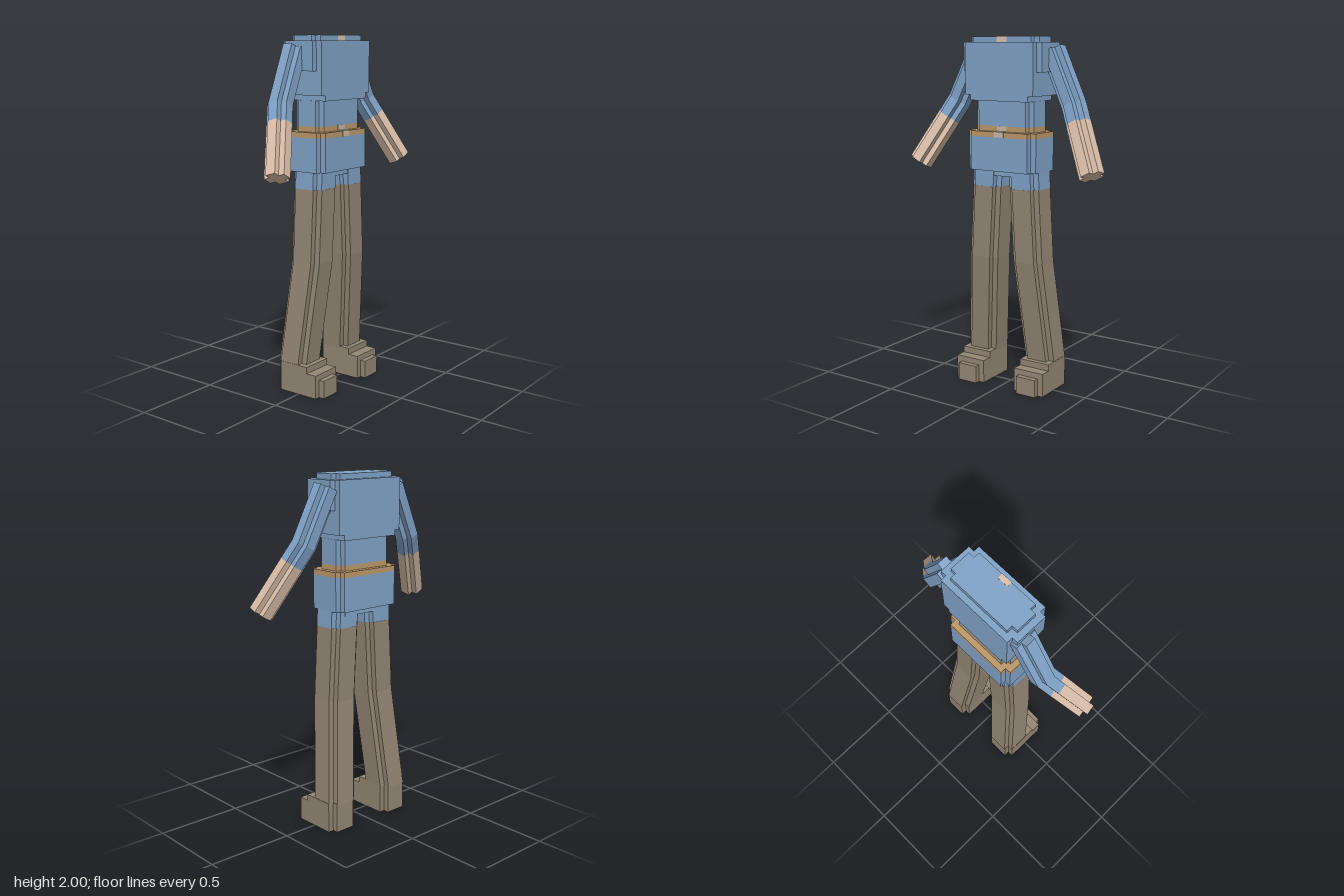
import * as THREE from 'three';

const V = (x, y, z) => new THREE.Vector3(x, y, z);
const INSET = 0.034; // depth of the notch along every vertical edge

function material(name, color) {
  const m = new THREE.MeshStandardMaterial({ color });
  m.name = name;
  return m;
}

// Outline of a rectangle with square-notched corners, counter-clockwise
function notched(hx, hy, n) {
  const a = hx - n, b = hy - n;
  return [[hx, -b], [hx, b], [a, b], [a, hy], [-a, hy], [-a, b],
    [-hx, b], [-hx, -b], [-a, -b], [-a, -hy], [a, -hy], [a, -b]];
}

// Limb with a notched section lofted through rings { p: centre, t: direction }
function limbGeometry(rings, hx, hz) {
  const loops = rings.map(({ p, t }) => {
    const d = t.clone().normalize();
    const w = V(0, 0, 1).addScaledVector(d, -d.z).normalize();
    const u = w.clone().cross(d);
    return notched(hx, hz, INSET).map(([a, b]) =>
      p.clone().addScaledVector(u, a).addScaledVector(w, b));
  });
  const pos = [];
  const tri = (...pts) => pts.forEach((q) => pos.push(q.x, q.y, q.z));
  const last = loops.length - 1;
  for (let i = 0; i < 12; i++) {
    const j = (i + 1) % 12;
    for (let k = 0; k < last; k++) {
      const a = loops[k], b = loops[k + 1];
      tri(a[i], a[j], b[j]);
      tri(a[i], b[j], b[i]);
    }
    tri(rings[0].p, loops[0][j], loops[0][i]);
    tri(rings[last].p, loops[last][i], loops[last][j]);
  }
  const g = new THREE.BufferGeometry();
  g.setAttribute('position', new THREE.Float32BufferAttribute(pos, 3));
  g.computeVertexNormals();
  return g;
}

export function createModel() {
  const model = new THREE.Group();
  model.name = 'clothedBody';
  const blue = material('shirt blue', 0x82a4c9);
  const brown = material('trouser brown', 0x948775);
  const skin = material('skin', 0xdfc3ad);
  const tan = material('belt tan', 0xbd9a6c);
  const pale = material('buckle pale', 0xcdb9a6);

  const add = (parent, name, geometry, mat) => {
    const mesh = new THREE.Mesh(geometry, mat);
    mesh.name = name;
    parent.add(mesh);
    return mesh;
  };
  const box = (parent, name, mat, x0, x1, y0, y1, z0, z1) => {
    add(parent, name, new THREE.BoxGeometry(x1 - x0, y1 - y0, z1 - z0), mat)
      .position.set((x0 + x1) / 2, (y0 + y1) / 2, (z0 + z1) / 2);
  };
  const layer = (parent, name, mat, hx, hz, y0, y1, notch = INSET) => {
    const shape = new THREE.Shape(notched(hx, hz, notch).map(([a, b]) => new THREE.Vector2(a, b)));
    const g = new THREE.ExtrudeGeometry(shape, { depth: y1 - y0, bevelEnabled: false });
    g.rotateX(-Math.PI / 2);
    add(parent, name, g, mat).position.y = y0;
  };

  // Torso, stacked from notched layers
  const torso = new THREE.Group();
  torso.name = 'torso';
  torso.position.set(-0.007, 0, -0.011);
  model.add(torso);
  layer(torso, 'collar', blue, 0.222, 0.094, 1.97, 2.0);
  layer(torso, 'shoulders', blue, 0.257, 0.127, 1.81, 1.97);
  box(torso, 'chest', blue, -0.222, 0.222, 1.68, 1.81, -0.127, 0.127);
  box(torso, 'lowerChest', blue, -0.188, 0.188, 1.65, 1.68, -0.127, 0.127);
  layer(torso, 'waist', blue, 0.19, 0.094, 1.51, 1.65);
  layer(torso, 'beltUpper', tan, 0.19, 0.094, 1.48, 1.51);
  layer(torso, 'beltLower', tan, 0.222, 0.127, 1.45, 1.48);
  layer(torso, 'pelvis', blue, 0.222, 0.127, 1.26, 1.45);
  layer(torso, 'crotch', blue, 0.188, 0.094, 1.23, 1.26);

  // Painted details
  box(torso, 'buckleUpper', pale, -0.032, 0.032, 1.48, 1.51, 0.092, 0.096);
  box(torso, 'buckleLower', pale, -0.032, 0.032, 1.45, 1.48, 0.125, 0.129);
  box(torso, 'buckleTop', pale, -0.032, 0.032, 1.477, 1.482, 0.092, 0.129);
  box(torso, 'neckOpening', skin, -0.032, 0.032, 1.994, 2.001, 0.064, 0.095);
  box(torso, 'neckOpeningFront', skin, -0.032, 0.032, 1.97, 2.001, 0.091, 0.096);

  const limbs = new THREE.Group();
  limbs.name = 'limbs';
  limbs.position.x = -0.003;
  model.add(limbs);

  for (const [side, s] of [['left', 1], ['right', -1]]) {
    // Arm: upper arm and sleeve in blue, then bare forearm and hand
    const shoulder = V(s * 0.242, 1.928, -0.055);
    const elbow = V(s * 0.383, 1.635, -0.04);
    const tip = V(s * 0.573, 1.275, 0.095);
    const upper = elbow.clone().sub(shoulder).normalize();
    const lower = tip.clone().sub(elbow).normalize();
    const cuff = { p: elbow.clone().lerp(tip, 0.27), t: lower };
    add(limbs, side + 'Sleeve', limbGeometry([
      { p: shoulder, t: upper },
      { p: elbow, t: upper.clone().add(lower) },
      cuff], 0.063, 0.063), blue);
    add(limbs, side + 'Forearm', limbGeometry([cuff, { p: tip, t: lower }], 0.063, 0.063), skin);

    // Leg: short shirt hem over a trouser leg bent at the knee
    const down = V(0, -1, 0);
    const ring = (x, y, z) => ({ p: V(s * x, y, z), t: down });
    const hem = ring(0.125, 1.165, -0.009);
    add(limbs, side + 'Hem', limbGeometry([ring(0.12, 1.26, -0.009), hem], 0.097, 0.095), blue);
    add(limbs, side + 'Trouser', limbGeometry([
      hem, ring(0.149, 0.75, -0.01), ring(0.201, 0.16, -0.065)], 0.095, 0.096), brown);

    // Stepped shoe
    const shoe = new THREE.Group();
    shoe.name = side + 'Shoe';
    shoe.position.x = s * 0.202;
    limbs.add(shoe);
    box(shoe, 'sole', brown, -0.095, 0.095, 0, 0.135, -0.125, 0.125);
    box(shoe, 'instep', brown, -0.095, 0.095, 0.135, 0.172, -0.125, 0.062);
    box(shoe, 'toe', brown, -0.062, 0.062, 0, 0.102, 0.125, 0.158);
    box(shoe, 'heel', brown, -0.062, 0.062, 0, 0.172, -0.158, -0.125);
  }
  return model;
}
